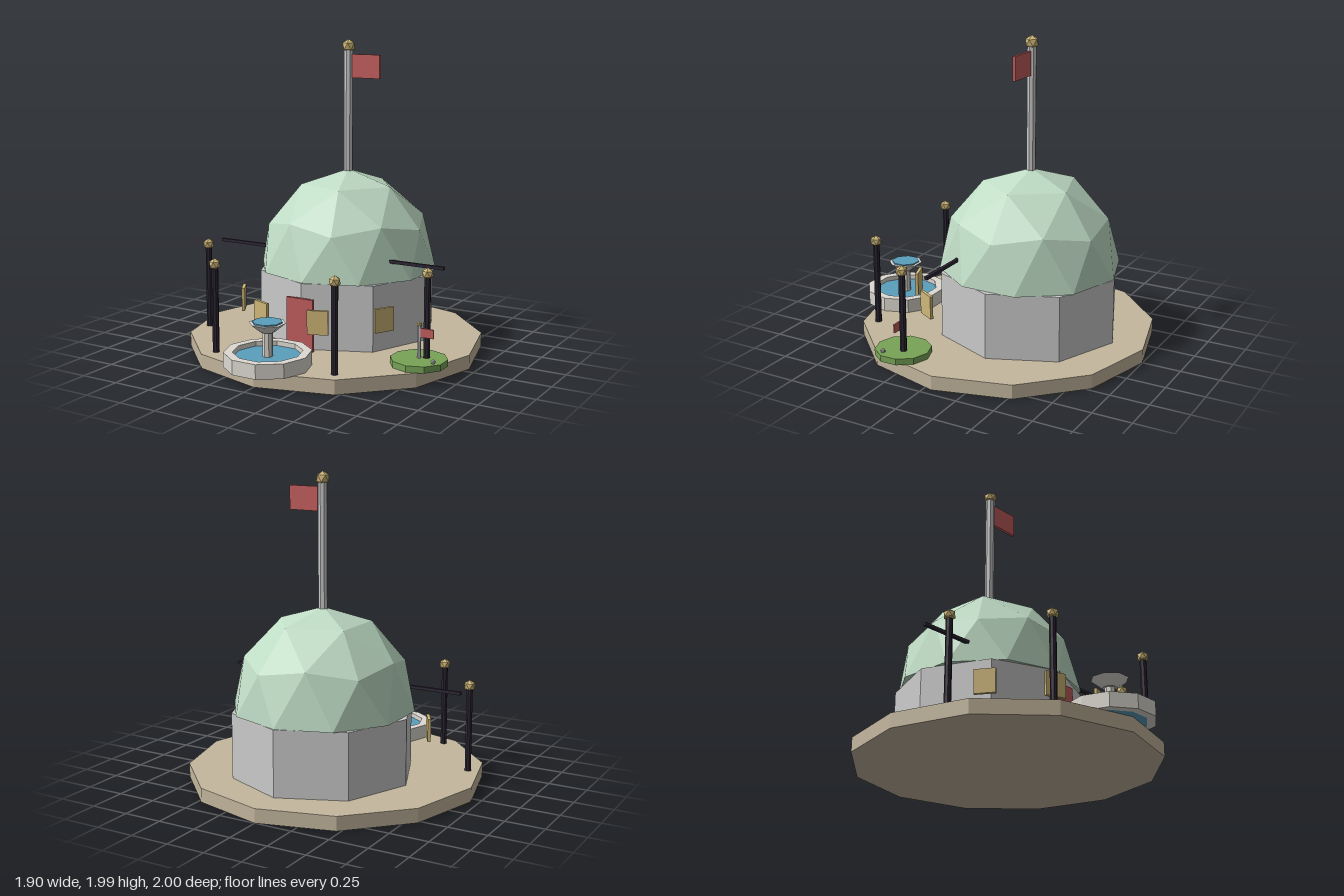
import * as THREE from 'three';

const mat = (color, extra = {}) => new THREE.MeshStandardMaterial({ color, flatShading: true, ...extra });
const grey = mat(0xcccccc);
const sand = mat(0xc4b79e);
const mint = mat(0xbfdcc5, { side: THREE.DoubleSide });
const red = mat(0xc05c5c);
const gold = mat(0xd0b878);
const iron = mat(0x2c2634);
const stone = mat(0xdedad2);
const blue = mat(0x5a9fbc);
const green = mat(0x78a457);

// Icosahedron turned so that one corner points straight up
const POLE_TILT = -Math.atan(2 / (1 + Math.sqrt(5)));
const icoUp = (r, detail = 0) => new THREE.IcosahedronGeometry(r, detail).rotateZ(POLE_TILT);

// Upper half of a subdivided icosahedron, radius 1
function halfDome() {
  const p = icoUp(1, 1).getAttribute('position');
  const kept = [];
  for (let i = 0; i < p.count; i += 3) {
    if (p.getY(i) + p.getY(i + 1) + p.getY(i + 2) < 0.01) continue;
    for (let k = i; k < i + 3; k++) kept.push(p.getX(k), p.getY(k), p.getZ(k));
  }
  const g = new THREE.BufferGeometry();
  g.setAttribute('position', new THREE.Float32BufferAttribute(kept, 3));
  g.computeVertexNormals();
  return g;
}

export function createModel() {
  const model = new THREE.Group();
  model.name = 'domedPavilion';

  const add = (name, geometry, material, x, y, z, parent = model) => {
    const m = new THREE.Mesh(geometry, material);
    m.name = name;
    m.position.set(x, y, z);
    parent.add(m);
    return m;
  };
  const group = (name, x = 0, y = 0, z = 0) => {
    const g = new THREE.Group();
    g.name = name;
    g.position.set(x, y, z);
    model.add(g);
    return g;
  };
  // Upright prism given by its bottom and top heights
  const prism = (name, rTop, rBottom, y0, y1, sides, material, x, z, parent) =>
    add(name, new THREE.CylinderGeometry(rTop, rBottom, y1 - y0, sides), material, x, (y0 + y1) / 2, z, parent);
  const box = (name, w, h, d, material, x, y, z, parent) =>
    add(name, new THREE.BoxGeometry(w, h, d), material, x, y, z, parent);

  // Ground slab and main building
  const bz = -0.21;
  prism('base', 0.95, 0.95, 0, 0.09, 12, sand, 0, -0.05);
  prism('wall', 0.585, 0.585, 0.09, 0.51, 8, grey, 0, bz);
  add('dome', halfDome(), mint, 0, 0.512, bz).scale.set(0.58, 0.638, 0.58);
  const under = add('domeUnderside', new THREE.CircleGeometry(0.58, 10, Math.PI / 10), mint, 0, 0.512, bz);
  under.rotation.x = Math.PI / 2;
  box('door', 0.19, 0.33, 0.02, red, 0, 0.255, 0.385);

  // Flagpole on the dome
  prism('flagpole', 0.03, 0.03, 1.12, 1.92, 8, grey, 0, bz);
  add('flagpoleFinial', icoUp(0.045), gold, 0, 1.94, bz);
  box('flag', 0.2, 0.15, 0.02, red, 0.13, 1.815, bz);

  // Mirrored windows, beams and lamp posts
  for (const s of [-1, 1]) {
    const front = box('frontWindow', 0.13, 0.15, 0.02, gold, s * 0.203, 0.325, 0.51);
    front.rotation.y = s * Math.PI / 9;
    const side = box('sideWindow', 0.13, 0.15, 0.02, gold, s * 0.515, 0.325, 0.25);
    side.rotation.y = s * Math.PI / 3;
    box('beam', 0.4, 0.02, 0.02, iron, s * 0.62, 0.64, 0.057);
    for (const [x, z] of [[0.8, 0.24], [0.425, 0.685]]) {
      prism('lampPost', 0.021, 0.021, 0.09, 0.63, 8, iron, s * x, z);
      add('lamp', icoUp(0.038), gold, s * x, 0.645, z);
    }
  }

  // Fountain: open basin, pedestal and upper dish
  const fountain = group('fountain', 0, 0, 0.748);
  const ring = [[0.21, 0.09], [0.265, 0.09], [0.265, 0.18], [0.21, 0.18], [0.21, 0.09]];
  const basin = add('basin', new THREE.LatheGeometry(ring.map(([x, y]) => new THREE.Vector2(x, y)), 10),
    stone, 0, 0, 0, fountain);
  basin.rotation.y = Math.PI / 10;
  prism('basinWater', 0.212, 0.212, 0.09, 0.15, 10, blue, 0, 0, fountain).rotation.y = Math.PI / 10;
  prism('pedestal', 0.032, 0.032, 0.14, 0.31, 8, stone, 0, 0, fountain);
  const dish = prism('dish', 0.112, 0.045, 0.3, 0.355, 8, stone, 0, 0, fountain);
  dish.rotation.y = Math.PI / 8;
  prism('dishWater', 0.092, 0.092, 0.34, 0.363, 8, blue, 0, 0, fountain).rotation.y = Math.PI / 8;

  // Garden bed with a small flag and a pebble
  const garden = group('garden', 0.763, 0, 0.267);
  prism('lawn', 0.175, 0.175, 0.09, 0.13, 10, green, 0, 0, garden);
  prism('smallPole', 0.011, 0.011, 0.13, 0.33, 6, grey, 0, 0, garden);
  add('smallFinial', icoUp(0.018), gold, 0, 0.337, 0, garden);
  box('smallFlag', 0.085, 0.055, 0.01, red, 0.052, 0.288, 0, garden);
  add('pebble', icoUp(0.016), grey, 0.124, 0.143, 0.065, garden);

  return model;
}
